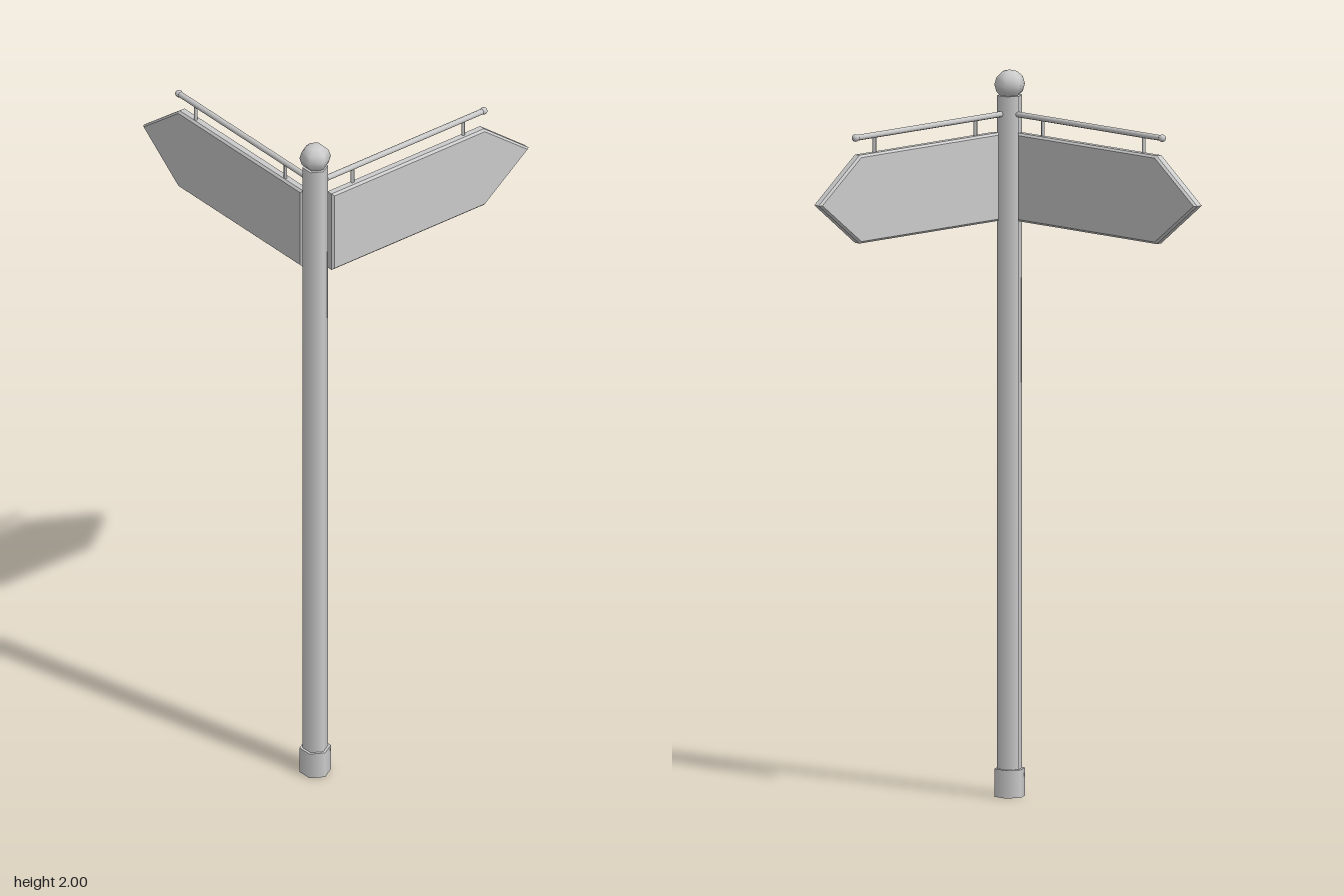
import * as THREE from 'three';

const material = new THREE.MeshStandardMaterial({ color: 0xcccccc });

function add(parent, name, geometry, x = 0, y = 0, z = 0) {
  const mesh = new THREE.Mesh(geometry, material);
  mesh.name = name;
  mesh.position.set(x, y, z);
  parent.add(mesh);
  return mesh;
}

// Six-sided post with corners pointing along x
function hexPost(radius, height) {
  return new THREE.CylinderGeometry(radius, radius, height, 6).rotateY(Math.PI / 2);
}

// Arrow board hanging under a rod, reaching towards -x from the pole axis
function createArm(name) {
  const arm = new THREE.Group();
  arm.name = name;

  const bevel = 0.006, depth = 0.017;
  const outline = new THREE.Shape([
    [-0.045, 1.589], [-0.045, 1.832], [-0.578, 1.832], [-0.734, 1.711], [-0.578, 1.589],
  ].map(([x, y]) => new THREE.Vector2(x, y)));
  const board = new THREE.ExtrudeGeometry(outline, {
    depth, bevelEnabled: true, bevelSegments: 1,
    bevelThickness: bevel, bevelSize: bevel, bevelOffset: -bevel,
  });
  add(arm, 'arrowBoard', board, 0, 0, -depth / 2 - 0.0035);

  // Support rod with a small end knob
  const rod = new THREE.CylinderGeometry(0.008, 0.008, 0.575, 8).rotateZ(Math.PI / 2);
  add(arm, 'supportRod', rod, -0.2975, 1.88, 0);
  add(arm, 'rodKnob', new THREE.SphereGeometry(0.0105, 8, 6), -0.587, 1.88, 0);

  // Hangers between rod and board
  for (const x of [-0.128, -0.515]) {
    add(arm, 'hanger', new THREE.CylinderGeometry(0.005, 0.005, 0.055, 6), x, 1.853, 0);
  }
  return arm;
}

export function createModel() {
  const model = new THREE.Group();
  model.name = 'signpost';

  // Pole, foot sleeve and ball finial share one axis
  const post = new THREE.Group();
  post.name = 'post';
  post.position.set(0.345, 0, 0.346);
  model.add(post);
  add(post, 'pole', hexPost(0.035, 1.93), 0, 0.965, 0);
  add(post, 'footSleeve', hexPost(0.043, 0.077), 0, 0.0385, 0);
  add(post, 'ballFinial', new THREE.SphereGeometry(0.043, 6, 6), 0, 1.96, 0).scale.y = 0.93;

  // Two arms at right angles
  post.add(createArm('rightArm'));
  const backArm = createArm('backArm');
  backArm.rotation.y = -Math.PI / 2;
  backArm.position.x = 0.003;
  post.add(backArm);

  return model;
}
